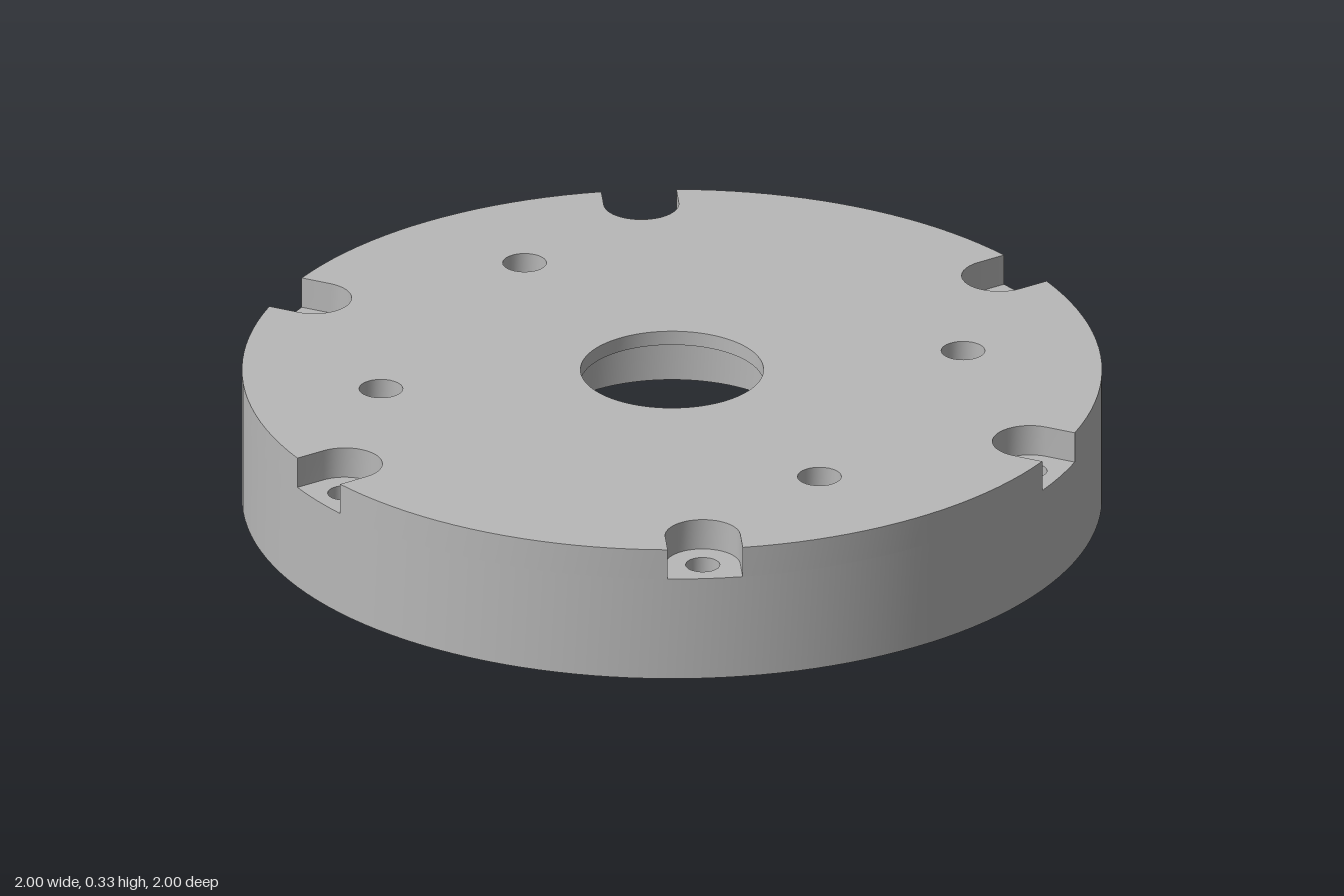
import * as THREE from 'three';
import { toCreasedNormals, mergeGeometries } from 'three/addons/utils/BufferGeometryUtils.js';

const TOP = 0.33, PAD = 0.255, RECESS = 0.163;
const PITCH = 0.9225, SLOT = 0.0875, BOLT = 0.04;
const HALF = Math.asin(SLOT);           // half angle of a slot at the rim
const STEP = Math.PI / 3;

// Points of an arc, both ends included
function arc(cx, cy, r, a0, a1, n) {
  return Array.from({ length: n + 1 }, (_, i) => {
    const a = a0 + (a1 - a0) * i / n;
    return new THREE.Vector2(cx + r * Math.cos(a), cy + r * Math.sin(a));
  });
}
const circle = (r, n = 96, x = 0, y = 0) => arc(x, y, r, 0, Math.PI * 2, n).slice(0, n);

// Flat face at height y, turned up or down
function face(points, holes, y, up) {
  const shape = new THREE.Shape(points);
  shape.holes = holes.map(h => new THREE.Path(h));
  return new THREE.ShapeGeometry(shape).rotateX(up ? -Math.PI / 2 : Math.PI / 2)
    .translate(0, y, 0).toNonIndexed();
}

// Upright wall along a closed outline, facing outward or inward
function wall(points, y0, y1, inward = false) {
  const pts = inward ? [...points].reverse() : points;
  const pos = [];
  pts.forEach((p, i) => {
    const q = pts[(i + 1) % pts.length];
    pos.push(p.x, y0, -p.y, q.x, y0, -q.y, q.x, y1, -q.y);
    pos.push(p.x, y0, -p.y, q.x, y1, -q.y, p.x, y1, -p.y);
  });
  const g = new THREE.BufferGeometry();
  g.setAttribute('position', new THREE.Float32BufferAttribute(pos, 3));
  return toCreasedNormals(g, 0.6);
}

export function createModel() {
  const group = new THREE.Group();
  const metal = new THREE.MeshStandardMaterial({ color: 0xb8b8b8 });
  metal.name = 'plain grey metal';
  const add = (name, ...geos) => {
    geos.forEach(g => g.deleteAttribute('uv'));
    const mesh = new THREE.Mesh(mergeGeometries(geos), metal);
    mesh.name = name;
    group.add(mesh);
  };

  // Outlines: full rim, rim with slots, slot pads and bolt holes
  const rim = [], slotted = [], pads = [], bolts = [];
  for (let k = 0; k < 6; k++) {
    const t = k * STEP, x = PITCH * Math.cos(t), y = PITCH * Math.sin(t);
    const slot = arc(x, y, SLOT, t - Math.PI / 2, t - Math.PI * 1.5, 20);
    const mouth = arc(0, 0, 1, t - HALF, t + HALF, 4);
    const edge = arc(0, 0, 1, t + HALF, t + STEP - HALF, 20);
    rim.push(...mouth.slice(0, -1), ...edge.slice(0, -1));
    slotted.push(...slot, ...edge);
    pads.push([...mouth, ...[...slot].reverse()]);
    bolts.push(circle(BOLT, 24, x, y));
  }
  const blind = [[1, 1], [-1, 1], [-1, -1], [1, -1]]
    .map(([sx, sy]) => circle(0.051, 28, sx * 0.565, sy * 0.387));
  const lip = circle(0.213), groove = circle(0.285), bore = circle(0.306), recess = circle(0.85);

  // Outer body
  add('outerWall', wall(rim, 0, PAD));
  add('slottedRim', wall(slotted, PAD, TOP));
  add('topFace', face(slotted, [lip, ...blind], TOP, true));
  add('bottomRing', face(rim, [recess, ...bolts], 0, false));

  // Underside recess
  add('undersideRecess', wall(recess, 0, RECESS, true), face(recess, [bore], RECESS, false));

  // Stepped centre bore
  add('centreBore',
    wall(bore, RECESS, 0.275, true), face(bore, [groove], 0.275, false),
    wall(groove, 0.275, 0.295, true), face(groove, [lip], 0.295, false),
    wall(lip, 0.295, TOP, true));

  // Slot floors with through bolt holes
  pads.forEach((pad, k) => {
    add('boltSeat' + (k + 1), face(pad, [bolts[k]], PAD, true), wall(bolts[k], 0, PAD, true));
  });

  // Blind holes in the top
  blind.forEach((hole, k) => {
    add('blindHole' + (k + 1), wall(hole, 0.22, TOP, true), face(hole, [], 0.22, true));
  });

  return group;
}
